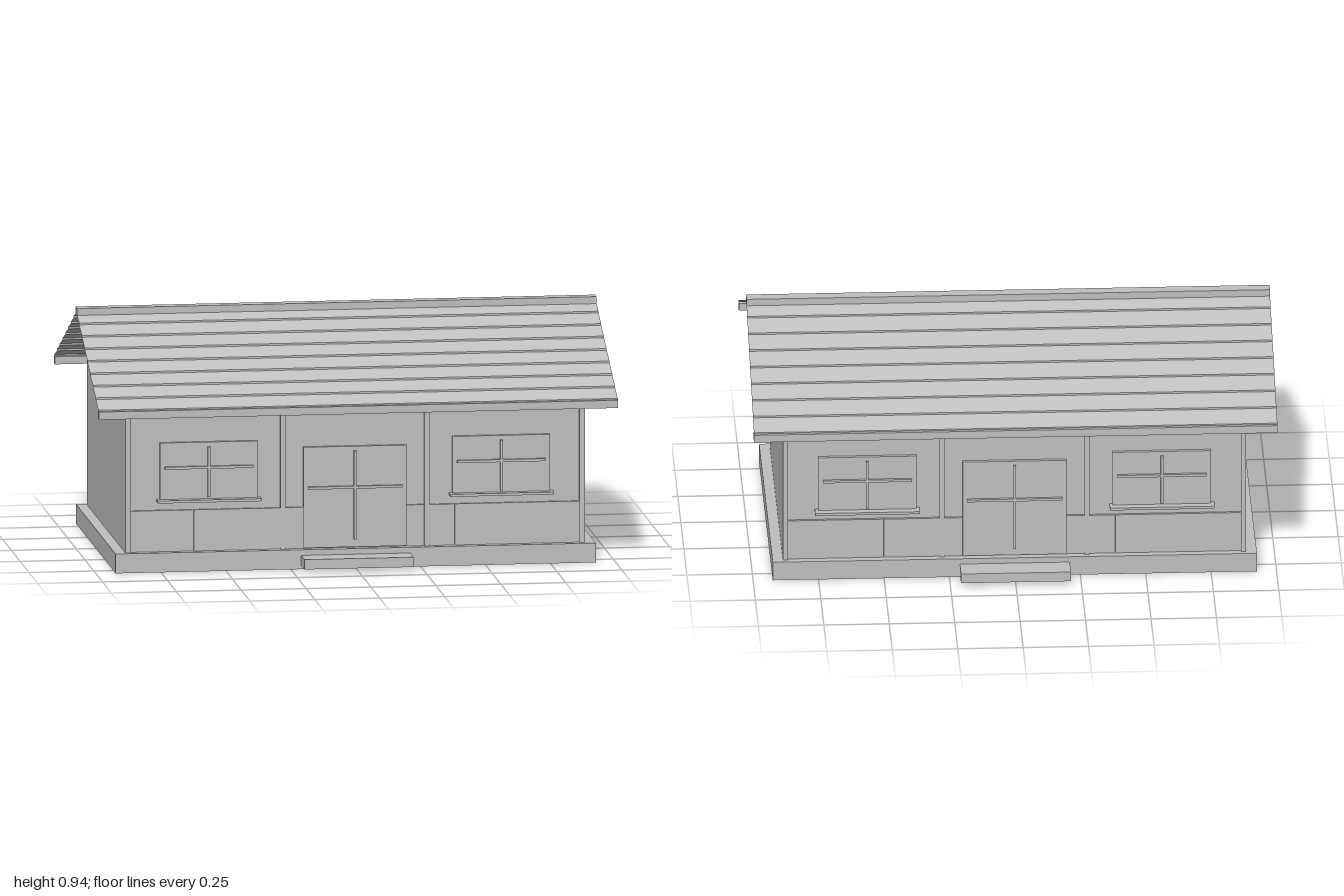
import * as THREE from 'three';

const grey = new THREE.MeshStandardMaterial({ color: 0xbfbfbf, side: THREE.DoubleSide });
grey.name = 'plain grey';

// Box given by its limits on each axis
function box(parent, name, x0, x1, y0, y1, z0, z1) {
  const mesh = new THREE.Mesh(new THREE.BoxGeometry(x1 - x0, y1 - y0, z1 - z0), grey);
  mesh.position.set((x0 + x1) / 2, (y0 + y1) / 2, (z0 + z1) / 2);
  mesh.name = name;
  parent.add(mesh);
}

// Row of wall boards with narrow grooves between them
function boards(parent, x0, x1, count) {
  const w = (x1 - x0) / count, gap = 0.003;
  for (let i = 0; i < count; i++) {
    box(parent, 'wallBoard', x0 + i * w + gap, x0 + (i + 1) * w - gap, 0.08, 0.235, 0.52, 0.54);
  }
}

// Thin raised cross bars on a window or door
function crossBars(parent, x, halfWidth, y0, y1, yBar) {
  const t = 0.005;
  box(parent, 'uprightBar', x - t, x + t, y0, y1, 0.54, 0.555);
  box(parent, 'crossBar', x - halfWidth, x + halfWidth, yBar - t, yBar + t, 0.54, 0.555);
}

function makeFacade() {
  const g = new THREE.Group();
  g.name = 'facade';
  for (const x of [-0.875, -0.277, 0.277, 0.875]) {
    box(g, 'post', x - 0.01, x + 0.01, 0.075, 0.645, 0.52, 0.545);
  }
  for (const s of [-1, 1]) {
    const x = s * 0.563;
    boards(g, x - 0.302, x + 0.302, 5);
    boards(g, s * 0.2335 - 0.0335, s * 0.2335 + 0.0335, 1);
    box(g, 'window', x - 0.188, x + 0.188, 0.27, 0.497, 0.52, 0.544);
    box(g, 'windowSill', x - 0.2, x + 0.2, 0.268, 0.278, 0.52, 0.573);
    crossBars(g, x, 0.17, 0.285, 0.48, 0.4);
  }
  box(g, 'door', -0.198, 0.198, 0.078, 0.468, 0.52, 0.544);
  crossBars(g, 0, 0.182, 0.108, 0.452, 0.31);
  box(g, 'doorStep', -0.21, 0.21, 0.015, 0.053, 0.55, 0.66);
  return g;
}

// Thin overlapping roof courses: a long slope and a small riser for each
function makeRoofSlope() {
  const courses = 8, lip = 0.007, profile = [];
  const at = (i) => [0.632 * i / courses, 0.923 - 0.278 * i / courses];
  for (let i = 0; i < courses; i++) {
    const [z0, y0] = at(i), [z1, y1] = at(i + 1);
    profile.push([z0, y0 - lip], [z1, y1], [z1, y1 - lip]);
  }
  const positions = [];
  for (let i = 0; i < profile.length - 1; i++) {
    const [z0, y0] = profile[i], [z1, y1] = profile[i + 1];
    if (z0 === z1 && y0 === y1) continue;
    positions.push(-1, y0, z0, -1, y1, z1, 1, y1, z1);
    positions.push(-1, y0, z0, 1, y1, z1, 1, y0, z0);
  }
  const geo = new THREE.BufferGeometry();
  geo.setAttribute('position', new THREE.Float32BufferAttribute(positions, 3));
  geo.computeVertexNormals();
  const mesh = new THREE.Mesh(geo, grey);
  mesh.name = 'roofCourses';
  return mesh;
}

export function createModel() {
  const model = new THREE.Group();
  model.name = 'house';

  box(model, 'plinth', -0.925, 0.925, 0, 0.075, -0.565, 0.565);

  // Gabled body, extruded along x
  const gable = new THREE.Shape([
    [-0.536, 0.07], [0.536, 0.07], [0.536, 0.235], [0.53, 0.235], [0.53, 0.647],
    [0, 0.873], [-0.53, 0.647], [-0.53, 0.235], [-0.536, 0.235],
  ].map(([z, y]) => new THREE.Vector2(z, y)));
  const bodyGeo = new THREE.ExtrudeGeometry(gable, { depth: 1.77, bevelEnabled: false });
  bodyGeo.translate(0, 0, -0.885).rotateY(Math.PI / 2);
  const body = new THREE.Mesh(bodyGeo, grey);
  body.name = 'walls';
  model.add(body);

  // Matching front and back
  for (const turn of [0, Math.PI]) {
    const side = new THREE.Group();
    side.name = turn ? 'backSide' : 'frontSide';
    side.add(makeFacade(), makeRoofSlope());
    box(side, 'eaveBeam', -1, 1, 0.61, 0.64, 0.613, 0.645);
    side.rotation.y = turn;
    model.add(side);
  }

  box(model, 'ridgeBeam', -1, 1, 0.905, 0.935, -0.023, 0.023);
  return model;
}
